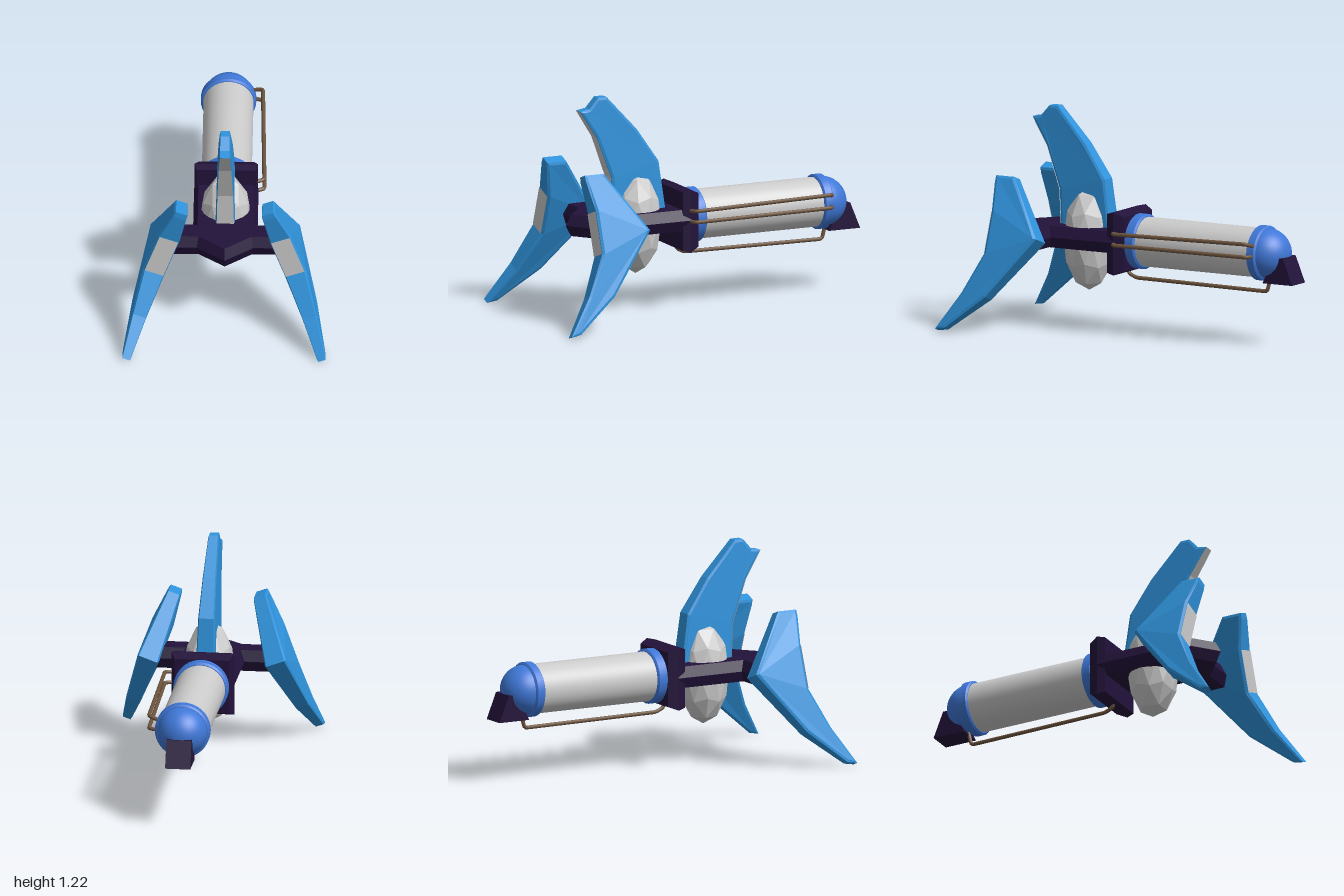
import * as THREE from 'three';
import { toCreasedNormals } from 'three/addons/utils/BufferGeometryUtils.js';

const flat = (color) => new THREE.MeshStandardMaterial({ color, flatShading: true });
const smooth = (color) => new THREE.MeshStandardMaterial({ color });
const BLUE = 0x2f93dc, CAP = 0x3f78d8, DARK = 0x22123a, BROWN = 0x6e553f, GREY = 0xcccccc;
const AXIS = 0.51; // height of the tank axis

const vec2 = (list) => list.map(([a, b]) => new THREE.Vector2(a, b));

function add(parent, name, geometry, material) {
  const mesh = new THREE.Mesh(geometry, material);
  mesh.name = name;
  parent.add(mesh);
  return mesh;
}

// Linear interpolation through [position, value] stops
function interpolate(stops, t) {
  for (let i = 1; i < stops.length; i++) {
    const [a, va] = stops[i - 1], [b, vb] = stops[i];
    if (t <= b) return THREE.MathUtils.lerp(va, vb, THREE.MathUtils.clamp((t - a) / (b - a), 0, 1));
  }
  return stops[stops.length - 1][1];
}

// Bevelled blade with a [z, y] profile whose half width varies with height
function bladeGeometry(profile, widths) {
  const bevel = 0.14;
  const geo = new THREE.ExtrudeGeometry(new THREE.Shape(vec2(profile)), {
    depth: 2 - 2 * bevel, bevelThickness: bevel, bevelSize: 0.014, bevelOffset: -0.014, bevelSegments: 1,
  });
  geo.translate(0, 0, bevel - 1).rotateY(-Math.PI / 2);
  const p = geo.attributes.position;
  for (let i = 0; i < p.count; i++) p.setX(i, p.getX(i) * interpolate(widths, p.getY(i)));
  return geo;
}

// Grey inlay over the front edge of a blade, through rising [z, y] points
function inlayGeometry(edge, widths) {
  const pos = [];
  for (let i = 1; i < edge.length; i++) {
    const [a, b, c, d] = [edge[i - 1], edge[i]].flatMap(([z, y]) => {
      const w = 0.88 * interpolate(widths, y);
      return [[-w, y, z + 0.003], [w, y, z + 0.003]];
    });
    pos.push(...a, ...b, ...d, ...a, ...d, ...c);
  }
  const geo = new THREE.BufferGeometry();
  geo.setAttribute('position', new THREE.Float32BufferAttribute(pos, 3));
  geo.computeVertexNormals();
  return geo;
}

// Turned part around the tank axis; points are [radius, z] with z rising
function turned(points, segments, start = 0) {
  return new THREE.LatheGeometry(vec2(points), segments, start).rotateX(Math.PI / 2).translate(0, AXIS, 0);
}

function createBlade(name, profile, widths, edge) {
  const group = new THREE.Group();
  group.name = name;
  add(group, 'blade', bladeGeometry(profile, widths), flat(BLUE));
  const material = flat(GREY);
  material.side = THREE.DoubleSide;
  add(group, 'inlay', inlayGeometry(edge, widths), material);
  return group;
}

// Pipe with tight bends at its inner points
function pipeGeometry(list) {
  const pts = list.map((p) => new THREE.Vector3(...p));
  const path = new THREE.CurvePath();
  let from = pts[0];
  for (let i = 1; i < pts.length - 1; i++) {
    const before = pts[i].clone().add(pts[i - 1].clone().sub(pts[i]).setLength(0.018));
    const after = pts[i].clone().add(pts[i + 1].clone().sub(pts[i]).setLength(0.018));
    path.add(new THREE.LineCurve3(from, before));
    path.add(new THREE.QuadraticBezierCurve3(before, pts[i], after));
    from = after;
  }
  path.add(new THREE.LineCurve3(from, pts[pts.length - 1]));
  return new THREE.TubeGeometry(path, 90, 0.011, 8);
}

export function createModel() {
  const model = new THREE.Group();
  model.name = 'model';

  // Tank with end collars and a domed rear
  const tank = new THREE.CylinderGeometry(0.138, 0.138, 0.78, 48).rotateX(Math.PI / 2);
  add(model, 'tank', tank.translate(0, AXIS, -0.39), smooth(GREY));
  for (const [name, z0, z1] of [['frontCollar', -0.03, 0.035], ['rearCollar', -0.806, -0.748]]) {
    const ring = turned([[0, z0], [0.142, z0], [0.153, z0 + 0.008], [0.153, z1 - 0.008], [0.142, z1], [0, z1]], 40);
    add(model, name, toCreasedNormals(ring, 0.6), smooth(CAP));
  }
  const dome = new THREE.SphereGeometry(0.14, 32, 12, 0, Math.PI * 2, 0, Math.PI / 2).rotateX(-Math.PI / 2);
  add(model, 'rearDome', dome.translate(0, AXIS, -0.795), smooth(CAP));

  // Wedge foot under the dome
  const wedge = new THREE.ExtrudeGeometry(
    new THREE.Shape(vec2([[-0.81, 0.353], [-1, 0.353], [-0.94, 0.5], [-0.88, 0.5]])),
    { depth: 0.14, bevelEnabled: false });
  add(model, 'rearWedge', wedge.translate(0, 0, -0.07).rotateY(-Math.PI / 2), flat(DARK));

  // Square bulkhead in front of the tank
  const r = Math.SQRT2;
  add(model, 'bulkhead', turned(
    [[0, 0.03], [0.152 * r, 0.03], [0.175 * r, 0.085], [0.165 * r, 0.13], [0, 0.13]], 4, Math.PI / 4), flat(DARK));

  // Frame with pointed nose and side arms, creased at mid height
  const half = [[0.178, 0.08], [0.178, 0.485], [0.37, 0.485], [0.37, 0.645], [0.155, 0.645]];
  const outline = [...half, [0, 0.768], ...half.map(([x, z]) => [-x, z]).reverse()];
  const frame = new THREE.ExtrudeGeometry(new THREE.Shape(vec2(outline.map(([x, z]) => [x, -z]))), {
    depth: 0.002, bevelThickness: 0.059, bevelSize: 0.025, bevelOffset: -0.025, bevelSegments: 1,
  });
  add(model, 'frame', frame.rotateX(-Math.PI / 2).translate(0, 0.514, 0), flat(DARK));

  // Faceted pod through the frame
  const pod = new THREE.IcosahedronGeometry(1, 1).rotateX(-1.0172).scale(0.145, 0.29, 0.145);
  add(model, 'pod', pod.translate(0, 0.5, 0.342), flat(GREY));

  // Upright fin
  const finWidths = [[0.5, 0.056], [0.77, 0.049], [1, 0.04], [1.16, 0.031], [1.23, 0.029]];
  const finEdge = [[0.49, 0.5], [0.507, 0.77], [0.592, 1], [0.69, 1.155]];
  model.add(createBlade('fin', [
    ...finEdge, [0.636, 1.165], [0.583, 1.225], [0.53, 1.225], [0.35, 1.03], [0.22, 0.84], [0.172, 0.5],
  ], finWidths, finEdge));

  // Two splayed legs
  const legWidths = [[0, 0.025], [0.44, 0.062], [0.68, 0.062], [0.885, 0.037]];
  const legProfile = [
    [0.78, 0.885], [0.665, 0.885], [0.445, 0.545], [0.71, 0.2], [0.94, 0.01],
    [1, 0], [0.865, 0.21], [0.755, 0.44], [0.755, 0.68], [0.78, 0.85],
  ];
  for (const side of [1, -1]) {
    const leg = createBlade(side > 0 ? 'leftLeg' : 'rightLeg', legProfile, legWidths, [[0.755, 0.44], [0.755, 0.68]]);
    leg.position.set(side * 0.54, 0.009, 0);
    leg.rotation.z = side * THREE.MathUtils.degToRad(20);
    model.add(leg);
  }

  // Hoses: two along the left side, one underneath
  const hoses = {
    upperHose: [[0.15, 0.568, 0.092], [0.21, 0.572, 0.07], [0.19, 0.583, -0.772], [0.12, 0.562, -0.795]],
    lowerHose: [[0.15, 0.508, 0.092], [0.21, 0.51, 0.07], [0.19, 0.51, -0.772], [0.12, 0.508, -0.795]],
    bottomHose: [[0, 0.36, 0.095], [0, 0.325, 0.09], [0, 0.303, 0.04], [0, 0.296, -0.8], [0, 0.38, -0.82]],
  };
  for (const [name, points] of Object.entries(hoses)) add(model, name, pipeGeometry(points), smooth(BROWN));

  return model;
}
